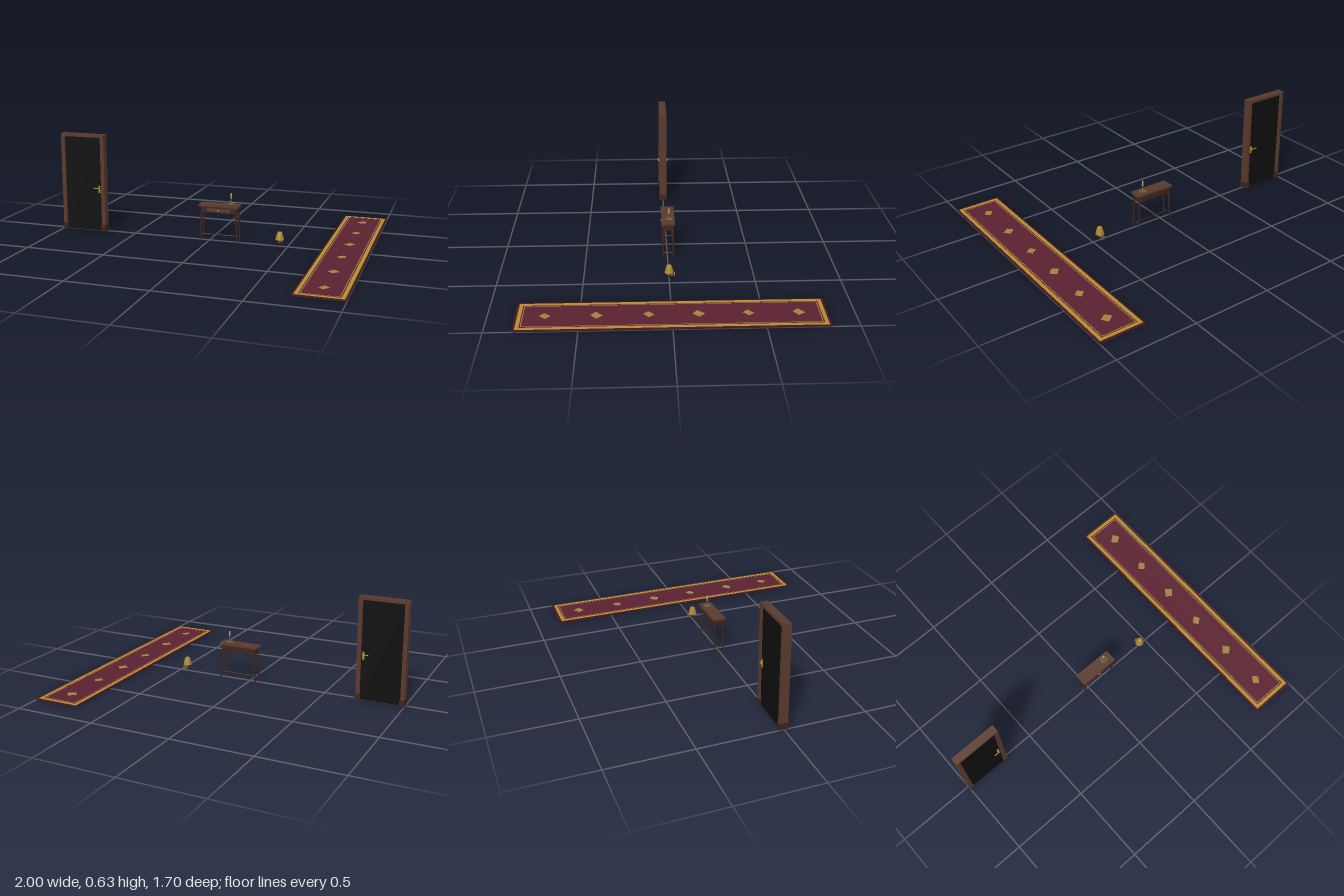
import * as THREE from 'three';

const mat = (name, color, side = THREE.FrontSide) => {
  const m = new THREE.MeshStandardMaterial({ color, side });
  m.name = name;
  return m;
};

export function createModel() {
  const wood = mat('walnut', 0x5a392c);
  const darkWood = mat('dark walnut', 0x3e241b);
  const black = mat('door black', 0x0e0e0e);
  const brass = mat('brass', 0xa8842c, THREE.DoubleSide);
  const bronze = mat('aged bronze', 0x6a5c38, THREE.DoubleSide);
  const burgundy = mat('burgundy', 0x5a2030);
  const edgeRed = mat('dark burgundy', 0x451523);
  const gold = mat('rug gold', 0xb48a2c);
  const ochre = mat('ochre', 0xa08240);
  const wax = mat('wax', 0xb5aa84);

  const root = new THREE.Group();
  const group = (name, x = 0, y = 0, z = 0) => {
    const g = new THREE.Group();
    g.name = name;
    g.position.set(x, y, z);
    root.add(g);
    return g;
  };
  const add = (parent, name, geo, material, x = 0, y = 0, z = 0) => {
    const m = new THREE.Mesh(geo, material);
    m.name = name;
    m.position.set(x, y, z);
    parent.add(m);
    return m;
  };
  const box = (parent, name, material, w, h, d, x, y, z) =>
    add(parent, name, new THREE.BoxGeometry(w, h, d), material, x, y, z);
  const lathe = (pts, n = 20) =>
    new THREE.LatheGeometry(pts.map(([r, y]) => new THREE.Vector2(r, y)), n);
  // Round bar between two points
  const rod = (parent, name, material, a, b, r0, r1 = r0, sides = 10) => {
    const p = new THREE.Vector3(...a), q = new THREE.Vector3(...b);
    const d = q.clone().sub(p);
    const m = add(parent, name, new THREE.CylinderGeometry(r1, r0, d.length(), sides), material);
    m.position.copy(p).add(q).multiplyScalar(0.5);
    m.quaternion.setFromUnitVectors(new THREE.Vector3(0, 1, 0), d.normalize());
    return m;
  };

  // Door in its frame
  const door = group('door', -0.85);
  for (const s of [-1, 1]) {
    box(door, 'jamb', wood, 0.025, 0.615, 0.048, s * 0.1365, 0.3075, 0);
    box(door, 'plinthBlock', darkWood, 0.03, 0.04, 0.058, s * 0.135, 0.02, 0);
  }
  box(door, 'header', wood, 0.298, 0.018, 0.048, 0, 0.621, 0);
  box(door, 'doorLeaf', black, 0.246, 0.604, 0.032, 0, 0.304, 0);
  for (const s of [-1, 1]) {
    box(door, 'handlePlate', brass, 0.013, 0.048, 0.004, 0.11, 0.275, s * 0.018);
    rod(door, 'handleSpindle', brass, [0.11, 0.284, s * 0.018], [0.11, 0.284, s * 0.032], 0.004);
    rod(door, 'handleLever', brass, [0.112, 0.284, s * 0.032], [0.076, 0.284, s * 0.032], 0.0035);
  }

  // Console table
  const table = group('table', 0.067, 0, -0.005);
  box(table, 'tableTop', wood, 0.256, 0.011, 0.08, 0, 0.2275, 0);
  box(table, 'topMoulding', darkWood, 0.244, 0.005, 0.07, 0, 0.2195, 0);
  for (const s of [-1, 1]) {
    box(table, 'longApron', darkWood, 0.224, 0.033, 0.006, 0, 0.2005, s * 0.028);
    box(table, 'endApron', darkWood, 0.006, 0.033, 0.056, s * 0.112, 0.2005, 0);
    for (const t of [-1, 1]) {
      rod(table, 'leg', darkWood, [s * 0.12, 0, t * 0.032], [s * 0.111, 0.19, t * 0.027], 0.0035, 0.0065, 12);
      add(table, 'legCollar', new THREE.TorusGeometry(0.0055, 0.002, 6, 14), darkWood,
        s * 0.1115, 0.178, t * 0.0273).rotation.x = Math.PI / 2;
    }
    rod(table, 'sideStretcher', darkWood, [s * 0.118, 0.036, -0.031], [s * 0.118, 0.036, 0.031], 0.003);
  }
  rod(table, 'middleStretcher', darkWood, [-0.118, 0.036, 0], [0.118, 0.036, 0], 0.003);
  box(table, 'drawerFront', wood, 0.15, 0.023, 0.002, 0, 0.2, 0.0315);
  add(table, 'drawerKnob', new THREE.SphereGeometry(0.006, 12, 8), brass, 0, 0.2, 0.038);

  // Chamberstick and candle on the table
  const candle = group('candlestick', 0.137, 0.233, -0.01);
  add(candle, 'dish', lathe([[0, 0], [0.018, 0], [0.025, 0.006], [0.023, 0.007], [0.016, 0.003], [0, 0.003]], 24), bronze);
  add(candle, 'stem', lathe([[0.009, 0.003], [0.004, 0.008], [0.003, 0.018], [0.006, 0.023], [0.003, 0.028],
    [0.004, 0.037], [0.009, 0.042], [0.006, 0.044], [0.006, 0.05], [0, 0.05]], 16), bronze);
  add(candle, 'candle', new THREE.CylinderGeometry(0.004, 0.0045, 0.028, 12), wax, 0, 0.062, 0);
  add(candle, 'wick', new THREE.CylinderGeometry(0.0008, 0.0008, 0.006, 6), black, 0, 0.078, 0);
  add(candle, 'fingerLoop', new THREE.TorusGeometry(0.007, 0.0015, 6, 16), bronze, 0.02, 0.012, 0);

  // Wall lamp
  const lamp = group('wallLamp', 0.45);
  add(lamp, 'shade', lathe([[0.027, 0.042], [0.024, 0.055], [0.019, 0.075], [0.014, 0.088]], 24), brass);
  add(lamp, 'shadeCap', lathe([[0.014, 0.088], [0.008, 0.091], [0, 0.092]], 24), brass);
  add(lamp, 'lampBody', lathe([[0, 0.01], [0.005, 0.012], [0.011, 0.02], [0.012, 0.027], [0.007, 0.034],
    [0.005, 0.05], [0, 0.05]], 16), darkWood);
  add(lamp, 'collar', new THREE.TorusGeometry(0.0075, 0.002, 6, 16), bronze, 0, 0.034, 0).rotation.x = Math.PI / 2;
  const plate = add(lamp, 'wallPlate', new THREE.CylinderGeometry(0.015, 0.015, 0.005, 20), bronze, 0, 0.03, -0.031);
  plate.rotation.x = Math.PI / 2;
  const arm = new THREE.CatmullRomCurve3([[0, 0.03, -0.03], [0, 0.022, -0.02], [0, 0.018, -0.008]]
    .map(p => new THREE.Vector3(...p)));
  add(lamp, 'arm', new THREE.TubeGeometry(arm, 10, 0.003, 8), bronze);

  // Runner rug with two inlaid borders
  const rug = group('rug', 0.8555);
  box(rug, 'rugBase', edgeRed, 0.289, 0.005, 1.7, 0, 0.0025, 0);
  const border = (name, material, w, l, t, y) => {
    const rect = (hw, hl) => [[-hw, -hl], [hw, -hl], [hw, hl], [-hw, hl]].map(p => new THREE.Vector2(...p));
    const shape = new THREE.Shape(rect(w / 2, l / 2));
    shape.holes.push(new THREE.Path(rect(w / 2 - t, l / 2 - t)));
    add(rug, name, new THREE.ShapeGeometry(shape), material, 0, y, 0).rotation.x = -Math.PI / 2;
  };
  box(rug, 'field', burgundy, 0.23, 0.001, 1.64, 0, 0.0054, 0);
  border('wideBorder', gold, 0.267, 1.672, 0.021, 0.0066);
  border('thinBorder', ochre, 0.213, 1.618, 0.005, 0.0066);

  // Hand-cut diamond motifs
  [-0.69, -0.417, -0.145, 0.125, 0.41, 0.687].forEach((z, i) => {
    const k = i % 2 ? 0.032 : 0.037;
    const s = new THREE.Shape([[-k, -0.003], [-0.004, -0.032], [k * 0.9, 0.001], [0.003, k]]
      .map(p => new THREE.Vector2(...p)));
    const m = add(rug, 'diamond', new THREE.ShapeGeometry(s), ochre, i % 2 ? 0 : 0.001, 0.0068, z);
    m.rotation.set(-Math.PI / 2, 0, (i % 3 - 1) * 0.12);
  });
  return root;
}
